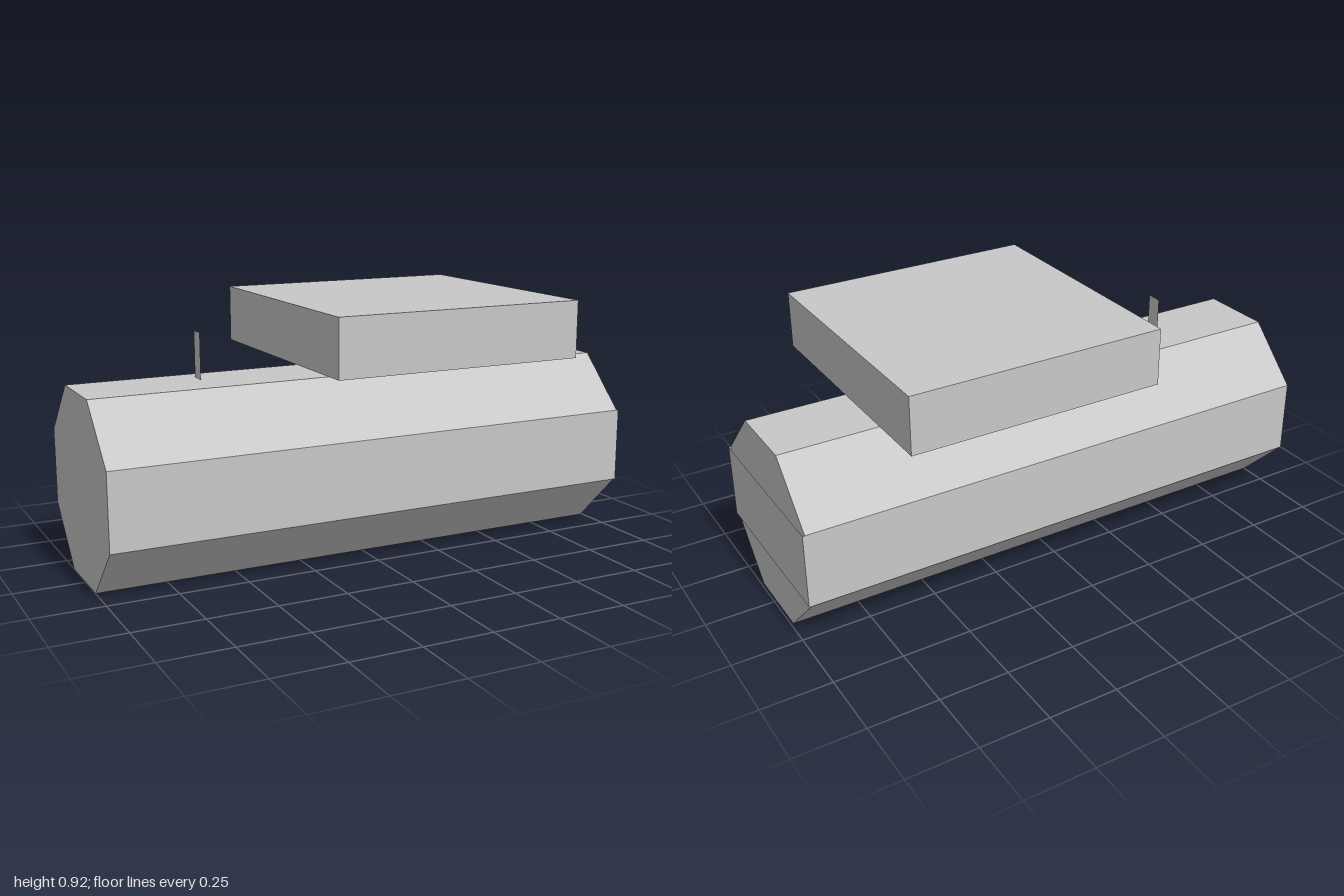
import * as THREE from 'three';

export function createModel() {
  const model = new THREE.Group();
  const grey = new THREE.MeshStandardMaterial({ color: 0xc8c8c8 });
  grey.name = 'light grey';
  grey.side = THREE.DoubleSide;

  const add = (name, geometry, x, y, z, turn = 0) => {
    const mesh = new THREE.Mesh(geometry, grey);
    mesh.name = name;
    mesh.position.set(x, y, z);
    mesh.rotation.y = turn;
    model.add(mesh);
    return mesh;
  };

  // Octagonal body, a cross-section run along x
  const side = 0.33, flat = 0.136, low = 0.195, high = 0.467, top = 0.66;
  const centreZ = -0.014;
  const outline = new THREE.Shape([
    [-flat, 0], [flat, 0], [side, low], [side, high],
    [flat, top], [-flat, top], [-side, high], [-side, low],
  ].map(([u, v]) => new THREE.Vector2(u, v)));
  const body = new THREE.ExtrudeGeometry(outline, { depth: 1.992, bevelEnabled: false });
  add('body', body, -1, 0, centreZ, Math.PI / 2);

  // Middle band of the end, standing slightly proud and open above and below
  const bandHeight = high - low, bandY = (high + low) / 2;
  add('endPanel', new THREE.PlaneGeometry(side * 2, bandHeight), 1, bandY, centreZ, Math.PI / 2);
  for (const s of [-1, 1]) {
    add(s > 0 ? 'frontPanelLip' : 'backPanelLip', new THREE.PlaneGeometry(0.008, bandHeight),
      0.996, bandY, centreZ + s * side, s > 0 ? 0 : Math.PI);
  }

  // Slab floating above the body
  add('slab', new THREE.BoxGeometry(0.94, 0.206, 0.94), 0.203, 0.821, 0);

  // Paper-thin upright fin
  add('fin', new THREE.PlaneGeometry(0.058, 0.166), -0.555, top + 0.083, -0.057, Math.PI / 2);

  return model;
}
